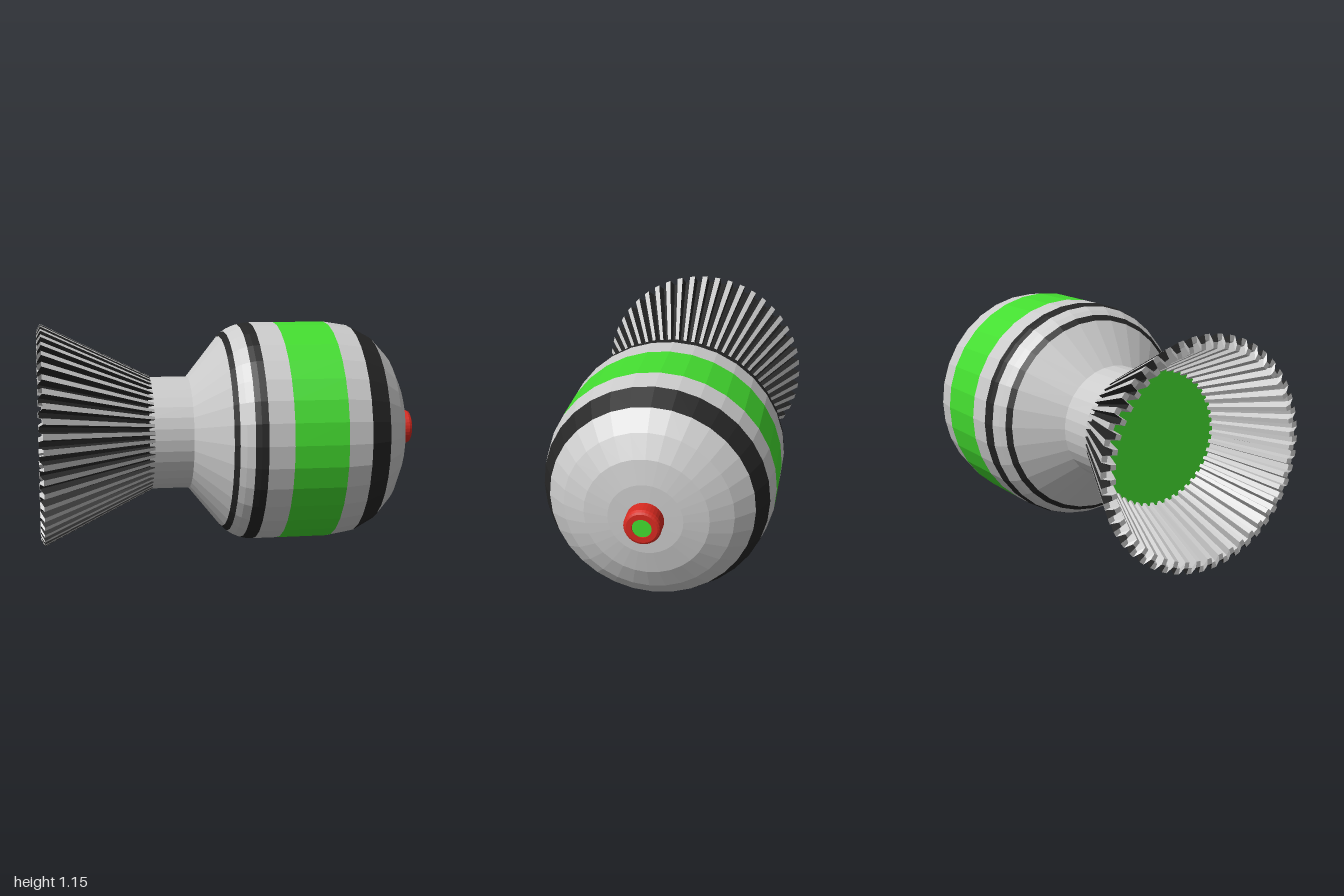
import * as THREE from 'three';

const GREY = 0xcccccc, BLACK = 0x262626, GREEN = 0x44dd30, RED = 0xd82a20;
const AXIS_Y = 0.577;

const material = (color) => new THREE.MeshStandardMaterial({ color, flatShading: true, side: THREE.DoubleSide });

// Solid of revolution around the x axis; profile is [x, radius] from -x to +x
function turned(name, profile, color, sides = 32) {
  const geometry = new THREE.LatheGeometry(profile.map(([x, r]) => new THREE.Vector2(r, x)), sides);
  geometry.rotateZ(-Math.PI / 2);
  const mesh = new THREE.Mesh(geometry, material(color));
  mesh.name = name;
  return mesh;
}

// Mesh from a list of quads, corners counter-clockwise
function quadMesh(name, quads, color) {
  const positions = [];
  for (const [a, b, c, d] of quads) positions.push(...a, ...b, ...c, ...a, ...c, ...d);
  const geometry = new THREE.BufferGeometry();
  geometry.setAttribute('position', new THREE.Float32BufferAttribute(positions, 3));
  geometry.computeVertexNormals();
  const mesh = new THREE.Mesh(geometry, material(color));
  mesh.name = name;
  return mesh;
}

// Pleated flared skirt: ridges and grooves alternate around a cone with a thin wall
function pleatedSkirt() {
  const PLEATS = 48, WALL = 0.03;
  // [x, radius] at the wide rim and the narrow neck
  const ridge = { rim: [-0.98, 0.577], neck: [-0.42, 0.3] };
  const groove = { rim: [-1, 0.54], neck: [-0.42, 0.282] };
  const pitch = (Math.PI * 2) / PLEATS;
  const steps = [[-0.2, ridge], [0.2, ridge], [0.32, groove], [0.68, groove]];
  const point = ([x, r], angle, inset) => {
    const radius = r - inset;
    return [x, radius * Math.cos(angle), radius * Math.sin(angle)];
  };
  const corners = [];
  for (let i = 0; i < PLEATS; i++) {
    for (const [offset, line] of steps) {
      const angle = (i + offset) * pitch;
      corners.push({
        outRim: point(line.rim, angle, 0), outNeck: point(line.neck, angle, 0),
        inRim: point(line.rim, angle, WALL), inNeck: point(line.neck, angle, WALL),
      });
    }
  }
  const ridges = [], grooves = [], lining = [], rim = [];
  corners.forEach((a, i) => {
    const b = corners[(i + 1) % corners.length];
    (i % 4 === 0 ? ridges : grooves).push([a.outRim, a.outNeck, b.outNeck, b.outRim]);
    lining.push([a.inRim, b.inRim, b.inNeck, a.inNeck]);
    rim.push([a.outRim, b.outRim, b.inRim, a.inRim]);
  });
  const skirt = new THREE.Group();
  skirt.name = 'pleatedSkirt';
  skirt.add(
    quadMesh('skirtRidges', ridges, GREY),
    quadMesh('skirtGrooves', grooves, BLACK),
    quadMesh('skirtLining', lining, GREY),
    quadMesh('skirtRim', rim, GREY),
  );
  return skirt;
}

export function createModel() {
  const model = new THREE.Group();
  model.name = 'canister';

  // Body as a run of coloured bands that share their edges
  const bands = [
    ['neck', GREY, [[-0.46, 0], [-0.46, 0.295], [-0.22, 0.295]]],
    ['shoulder', GREY, [[-0.22, 0.295], [-0.05, 0.505]]],
    ['thinBlackBand', BLACK, [[-0.05, 0.505], [-0.025, 0.53]]],
    ['shoulderCurve', GREY, [[-0.025, 0.53], [0.005, 0.55], [0.045, 0.567]]],
    ['rearBlackBand', BLACK, [[0.045, 0.567], [0.075, 0.574], [0.11, 0.577]]],
    ['rearGreyBand', GREY, [[0.11, 0.577], [0.24, 0.577]]],
    ['greenBand', GREEN, [[0.24, 0.577], [0.515, 0.577]]],
    ['frontGreyBand', GREY, [[0.515, 0.577], [0.64, 0.557]]],
    ['frontBlackBand', BLACK, [[0.64, 0.557], [0.75, 0.5]]],
    ['noseDome', GREY, [[0.75, 0.5], [0.835, 0.41], [0.89, 0.3], [0.913, 0.18], [0.917, 0]]],
  ];
  for (const [name, color, profile] of bands) model.add(turned(name, profile, color));

  // Nose button with a green centre
  model.add(turned('buttonRing', [[0.9, 0.09], [0.982, 0.09], [0.995, 0.084], [1, 0.074], [1, 0.047], [0.992, 0.047]], RED));
  model.add(turned('buttonCentre', [[0.995, 0.047], [0.995, 0]], GREEN));

  // Skirt with a green disc set inside it
  model.add(pleatedSkirt());
  model.add(turned('innerDisc', [[-0.6, 0], [-0.6, 0.35]], GREEN));

  model.children.forEach((part) => { part.position.y = AXIS_Y; });
  return model;
}
